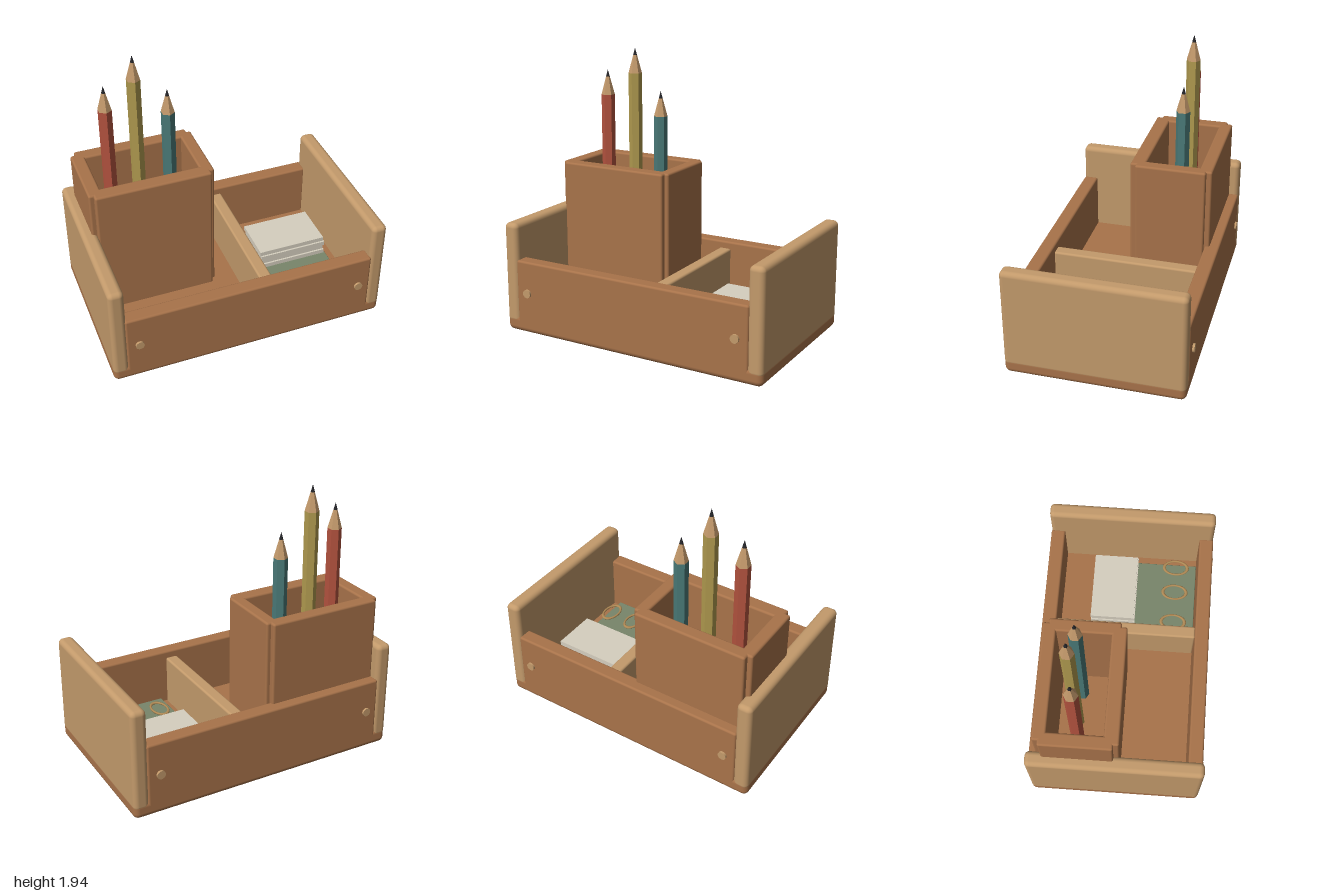
import * as THREE from 'three';
import { RoundedBoxGeometry } from 'three/addons/geometries/RoundedBoxGeometry.js';

const paint = (color, extra = {}) => new THREE.MeshStandardMaterial({ color, ...extra });
const WOOD = paint(0xa8734a);
const PALE = paint(0xc39a6b);
const FELT = paint(0x78866a);
const PAPER = paint(0xd6cfbf);
const BRASS = paint(0xb08a55);
const RAW = paint(0xc49a6c, { flatShading: true });
const LEAD = paint(0x26262a, { flatShading: true });

export function createModel() {
  const model = new THREE.Group();
  model.name = 'deskOrganizer';

  const add = (name, geometry, material, x, y, z, parent = model) => {
    const mesh = new THREE.Mesh(geometry, material);
    mesh.name = name;
    mesh.position.set(x, y, z);
    parent.add(mesh);
    return mesh;
  };
  // Rounded board given by its limits on each axis
  const board = (name, material, [x0, x1], [y0, y1], [z0, z1], r, parent) =>
    add(name, new RoundedBoxGeometry(x1 - x0, y1 - y0, z1 - z0, 3, r), material,
      (x0 + x1) / 2, (y0 + y1) / 2, (z0 + z1) / 2, parent);

  // Tray: base, pale ends, front and back rails, divider
  board('base', WOOD, [-1, 1], [0, 0.12], [-0.62, 0.62], 0.04);
  board('leftEnd', PALE, [0.89, 1], [0.06, 0.79], [-0.62, 0.62], 0.035);
  board('rightEnd', PALE, [-1, -0.89], [0.06, 0.79], [-0.62, 0.62], 0.035);
  board('frontRail', WOOD, [-0.9, 0.9], [0.06, 0.53], [0.515, 0.62], 0.015);
  board('backRail', WOOD, [-0.9, 0.9], [0.06, 0.53], [-0.62, -0.515], 0.015);
  board('divider', PALE, [0.11, 0.2], [0.1, 0.48], [-0.52, 0.52], 0.015);

  // Dowel plugs on the front and back rails
  for (const x of [-0.81, 0.81]) {
    for (const z of [-0.62, 0.62]) {
      add('dowel', new THREE.CylinderGeometry(0.03, 0.03, 0.03, 20), PALE, x, 0.3, z).rotation.x = Math.PI / 2;
    }
  }

  // Pencil cup: four overlapping walls with stepped corners
  const cup = new THREE.Group();
  cup.name = 'pencilCup';
  model.add(cup);
  const cupY = [0.1, 1.12];
  board('cupFront', WOOD, [-0.895, -0.07], cupY, [-0.075, 0.03], 0.015, cup);
  board('cupBack', WOOD, [-0.895, -0.07], cupY, [-0.55, -0.455], 0.015, cup);
  board('cupRightSide', WOOD, [-0.93, -0.835], cupY, [-0.51, -0.01], 0.015, cup);
  board('cupLeftSide', WOOD, [-0.13, -0.04], cupY, [-0.51, -0.01], 0.015, cup);

  // Hexagonal pencils: painted body, raw wood taper, lead point
  const pencil = (color, x, z, shoulder) => {
    const group = new THREE.Group();
    group.name = 'pencil';
    group.position.set(x, 0, z);
    model.add(group);
    const r = 0.049, bottom = 0.12, taper = 0.13, point = 0.052;
    const rTip = r * point / (taper + point);
    add('pencilBody', new THREE.CylinderGeometry(r, r, shoulder - bottom, 6),
      paint(color, { flatShading: true }), 0, (shoulder + bottom) / 2, 0, group);
    add('pencilTaper', new THREE.CylinderGeometry(rTip, r, taper, 6), RAW, 0, shoulder + taper / 2, 0, group);
    add('pencilLead', new THREE.ConeGeometry(rTip, point, 6), LEAD, 0, shoulder + taper + point / 2, 0, group);
  };
  pencil(0xb4533f, -0.71, -0.28, 1.593);
  pencil(0xb09a4f, -0.495, -0.315, 1.76);
  pencil(0x4a7a78, -0.27, -0.297, 1.465);

  // Felt pad in the small compartment
  board('feltPad', FELT, [0.25, 0.83], [0.11, 0.15], [-0.275, 0.515], 0.005);

  // Stack of note cards, each slightly shifted
  for (let i = 0; i < 4; i++) {
    const shift = i % 2 ? 0 : 0.008;
    add('noteCard', new THREE.BoxGeometry(0.51, 0.033, 0.33), PAPER, 0.555 + shift, 0.168 + i * 0.038, -0.115 + shift);
  }

  // Oval wire clips lying on the pad
  for (const x of [0.342, 0.592, 0.8]) {
    const clip = add('clip', new THREE.TorusGeometry(0.057, 0.008, 8, 32), BRASS, x, 0.165, 0.355);
    clip.rotation.x = Math.PI / 2;
    clip.scale.set(1, 1.6, 1);
  }
  return model;
}
